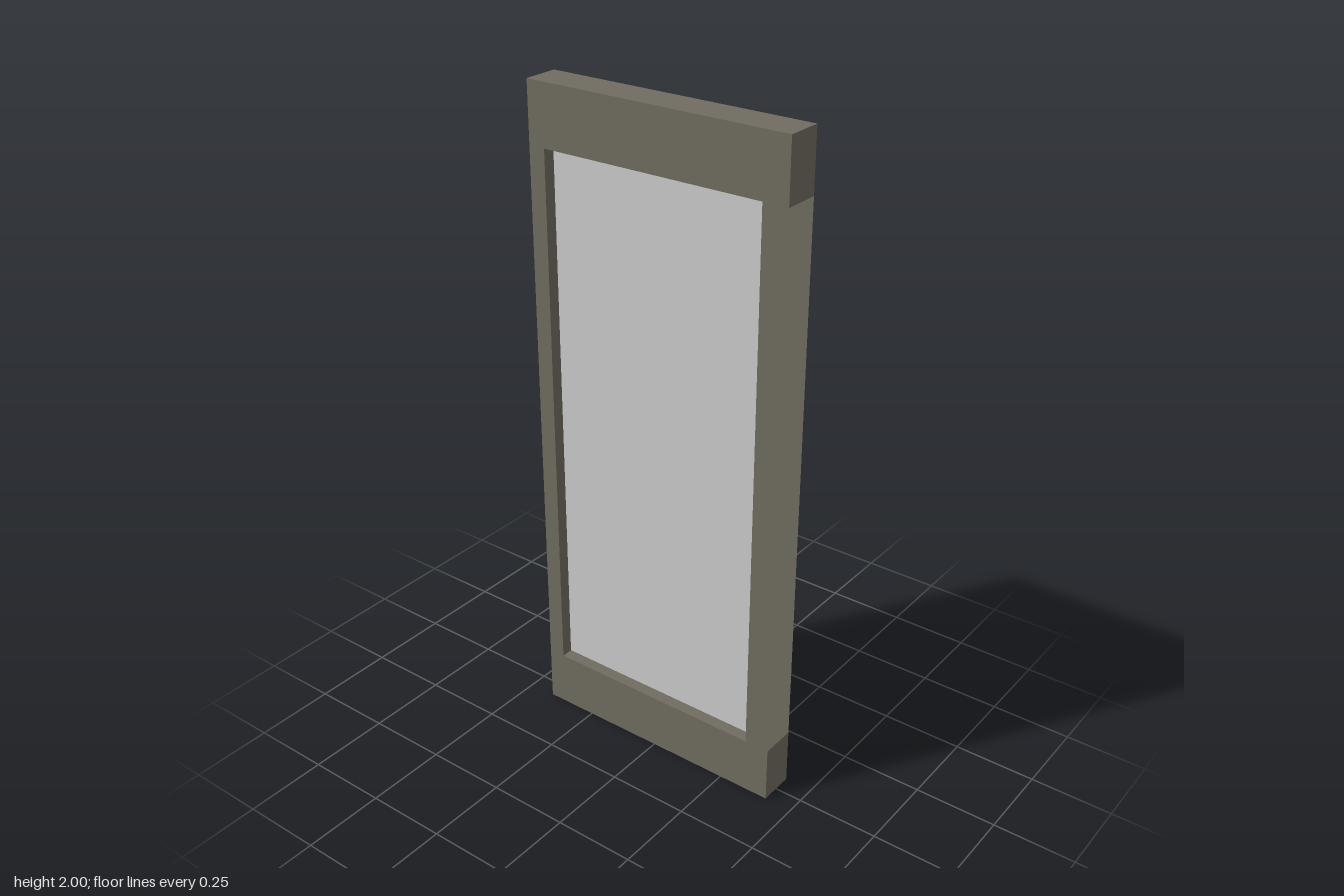
import * as THREE from 'three';

export function createModel() {
  const model = new THREE.Group();
  const frameMat = new THREE.MeshStandardMaterial({ color: 0x706c60, side: THREE.DoubleSide });
  const glassMat = new THREE.MeshStandardMaterial({ color: 0xcccccc });

  const W = 0.414, H = 2, D = 0.055;                       // outer half width, height, half depth
  const x0 = -0.362, x1 = 0.337, y0 = 0.175, y1 = 1.82;    // glazed opening

  const add = (name, geometry, material, x, y, z) => {
    const mesh = new THREE.Mesh(geometry, material);
    mesh.name = name;
    mesh.position.set(x, y, z);
    model.add(mesh);
    return mesh;
  };
  const corners = (l, b, r, t) => [[l, b], [r, b], [r, t], [l, t]].map(([x, y]) => new THREE.Vector2(x, y));

  // Front and back skins of the hollow frame, with the opening cut out
  const skin = new THREE.Shape(corners(-W, 0, W, H));
  skin.holes.push(new THREE.Path(corners(x0, y0, x1, y1).reverse()));
  add('frontSkin', new THREE.ShapeGeometry(skin), frameMat, 0, 0, D);
  const backGeometry = new THREE.ShapeGeometry(skin);
  backGeometry.scale(1, 1, -1);
  backGeometry.index.array.reverse();
  backGeometry.computeVertexNormals();
  add('backSkin', backGeometry, frameMat, 0, 0, -D);

  // Upright strips spanning the depth; side is the x direction they face
  const upright = (name, x, b, t, side) => {
    const g = new THREE.PlaneGeometry(2 * D, t - b).rotateY(side * Math.PI / 2);
    add(name, g, frameMat, x, (b + t) / 2, 0);
  };
  // Level strips spanning the depth; side is the y direction they face
  const level = (name, y, l, r, side) => {
    const g = new THREE.PlaneGeometry(r - l, 2 * D).rotateX(-side * Math.PI / 2);
    add(name, g, frameMat, (l + r) / 2, y, 0);
  };

  // Outer edges: the left stile is open between its two rail ends on +x
  upright('closedSideEdge', -W, 0, H, -1);
  upright('bottomRailEnd', W, 0, y0, 1);
  upright('topRailEnd', W, y1, H, 1);
  level('topEdge', H, -W, W, 1);
  level('bottomEdge', 0, -W, W, -1);

  // Reveal around the opening
  upright('rightJamb', x0, y0, y1, 1);
  upright('leftJamb', x1, y0, y1, -1);
  level('sill', y0, x0, x1, 1);
  level('head', y1, x0, x1, -1);

  // Glass pane, centred in the depth
  add('glassPane', new THREE.BoxGeometry(x1 - x0, y1 - y0, 0.036), glassMat, (x0 + x1) / 2, (y0 + y1) / 2, 0);

  return model;
}
